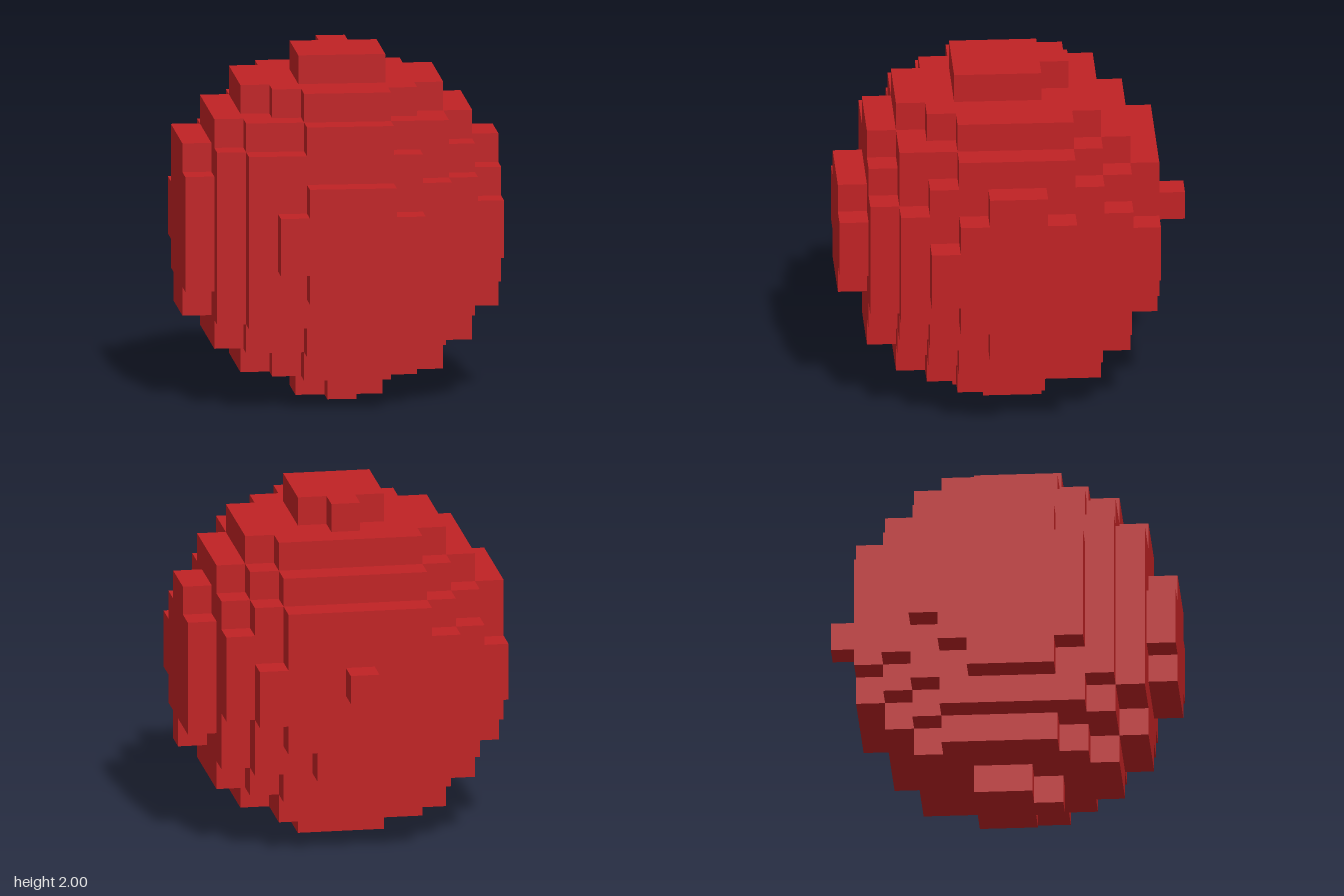
import * as THREE from 'three';
import { mergeGeometries } from 'three/addons/utils/BufferGeometryUtils.js';

// Grid of cubes, 11 x 12 x 12, one sixth of a unit each
const CUBE = 1 / 6;
const SIZE = [11, 12, 12];

// A cube is filled when its centre lies inside a slightly off-centre ball
const CENTRE = [-0.125, 0.05, 0.225];
const RADIUS_SQ = 33.05;

function filled(cell) {
  let d = 0;
  for (let a = 0; a < 3; a++) {
    if (cell[a] < 0 || cell[a] >= SIZE[a]) return false;
    d += (cell[a] - (SIZE[a] - 1) / 2 - CENTRE[a]) ** 2;
  }
  return d <= RADIUS_SQ;
}

// One cube face turned towards each of the six directions
function makeFace(dir) {
  const face = new THREE.PlaneGeometry(CUBE, CUBE);
  face.translate(0, 0, CUBE / 2);
  const turn = new THREE.Quaternion().setFromUnitVectors(
    new THREE.Vector3(0, 0, 1), new THREE.Vector3(...dir));
  return face.applyQuaternion(turn);
}

const DIRECTIONS = [
  [1, 0, 0], [-1, 0, 0], [0, 1, 0], [0, -1, 0], [0, 0, 1], [0, 0, -1],
];

export function createModel() {
  const red = new THREE.MeshStandardMaterial({ color: 0xc02224 });
  red.name = 'red';

  const templates = DIRECTIONS.map(makeFace);
  const faces = [];
  for (let i = 0; i < SIZE[0]; i++) {
    for (let j = 0; j < SIZE[1]; j++) {
      for (let k = 0; k < SIZE[2]; k++) {
        if (!filled([i, j, k])) continue;
        // Keep only the faces that have no neighbour
        DIRECTIONS.forEach((d, n) => {
          if (filled([i + d[0], j + d[1], k + d[2]])) return;
          faces.push(templates[n].clone().translate(
            (i - 5) * CUBE, (j + 0.5) * CUBE, (k - 5.5) * CUBE));
        });
      }
    }
  }

  const ball = new THREE.Mesh(mergeGeometries(faces), red);
  ball.name = 'blockBall';

  const model = new THREE.Group();
  model.name = 'steppedSphere';
  model.add(ball);
  return model;
}
